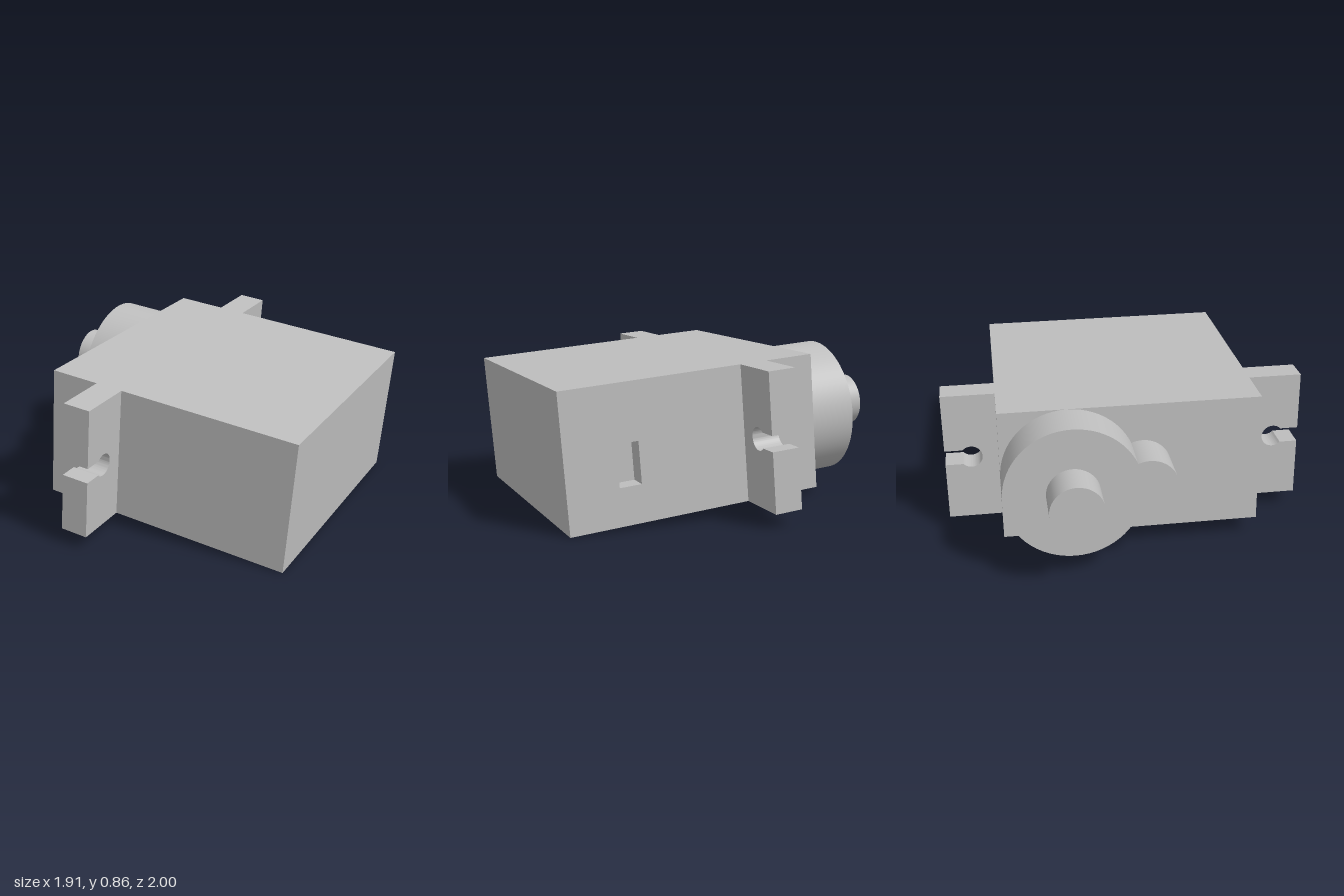
import * as THREE from 'three';
import { toCreasedNormals } from 'three/addons/utils/BufferGeometryUtils.js';

const W = 1.42, H = 0.737, D = 1.41; // main case: length, height, depth

export function createModel() {
  const model = new THREE.Group();
  model.name = 'servoMotor';
  const grey = new THREE.MeshStandardMaterial({ color: 0xbfbfbf });
  grey.name = 'plain grey';

  // Everything sits in one slightly tilted frame
  const servo = new THREE.Group();
  servo.name = 'tiltedAssembly';
  servo.position.set(0.214, 0.4225, 0);
  servo.rotation.z = -0.0777;
  model.add(servo);

  const add = (name, geometry, x = 0, y = 0, z = 0) => {
    const mesh = new THREE.Mesh(geometry, grey);
    mesh.name = name;
    mesh.position.set(x, y, z);
    servo.add(mesh);
    return mesh;
  };
  const rectangle = (PathType, x0, y0, x1, y1) => new PathType([
    [x0, y0], [x1, y0], [x1, y1], [x0, y1],
  ].map(([x, y]) => new THREE.Vector2(x, y)));

  // Case, with a shallow cable socket let into the back wall
  const wall = 0.1;
  add('case', new THREE.BoxGeometry(W, H, D - wall), 0, 0, wall / 2);
  const back = rectangle(THREE.Shape, -W / 2, -H / 2, W / 2, H / 2);
  back.holes.push(rectangle(THREE.Path, 0.31, -0.165, 0.43, 0.06));
  add('backWall', new THREE.ExtrudeGeometry(back, { depth: wall, bevelEnabled: false }), 0, 0, -D / 2);

  // Mounting tabs with keyhole slots open at the outer edge
  const r = 0.062, slot = 0.042, a = Math.asin(slot / r);
  const tab = new THREE.Shape();
  tab.moveTo(0.7, -H / 2);
  tab.lineTo(1, -H / 2);
  tab.lineTo(1, -slot);
  tab.absarc(0.855, 0, r, -a, a, true);
  tab.lineTo(1, slot);
  tab.lineTo(1, H / 2);
  tab.lineTo(0.7, H / 2);
  const tabGeometry = toCreasedNormals(
    new THREE.ExtrudeGeometry(tab, { depth: 0.152, bevelEnabled: false, curveSegments: 32 })
      .rotateY(-Math.PI / 2), 0.5);
  add('frontMountingTab', tabGeometry, -0.2875);
  add('backMountingTab', tabGeometry, -0.2875).rotation.x = Math.PI;

  // Round parts along the length of the case
  const round = (name, radius, x0, x1, y, z) => add(name,
    new THREE.CylinderGeometry(radius, radius, x1 - x0, 64).rotateZ(Math.PI / 2), (x0 + x1) / 2, y, z);
  round('gearHousing', 0.368, -0.961, -0.7, 0, -0.337);
  round('smallGearHousing', 0.155, -0.96, -0.7, 0.005, 0.06);
  round('outputShaft', 0.142, -1.164, -0.95, 0.004, -0.338);

  return model;
}
